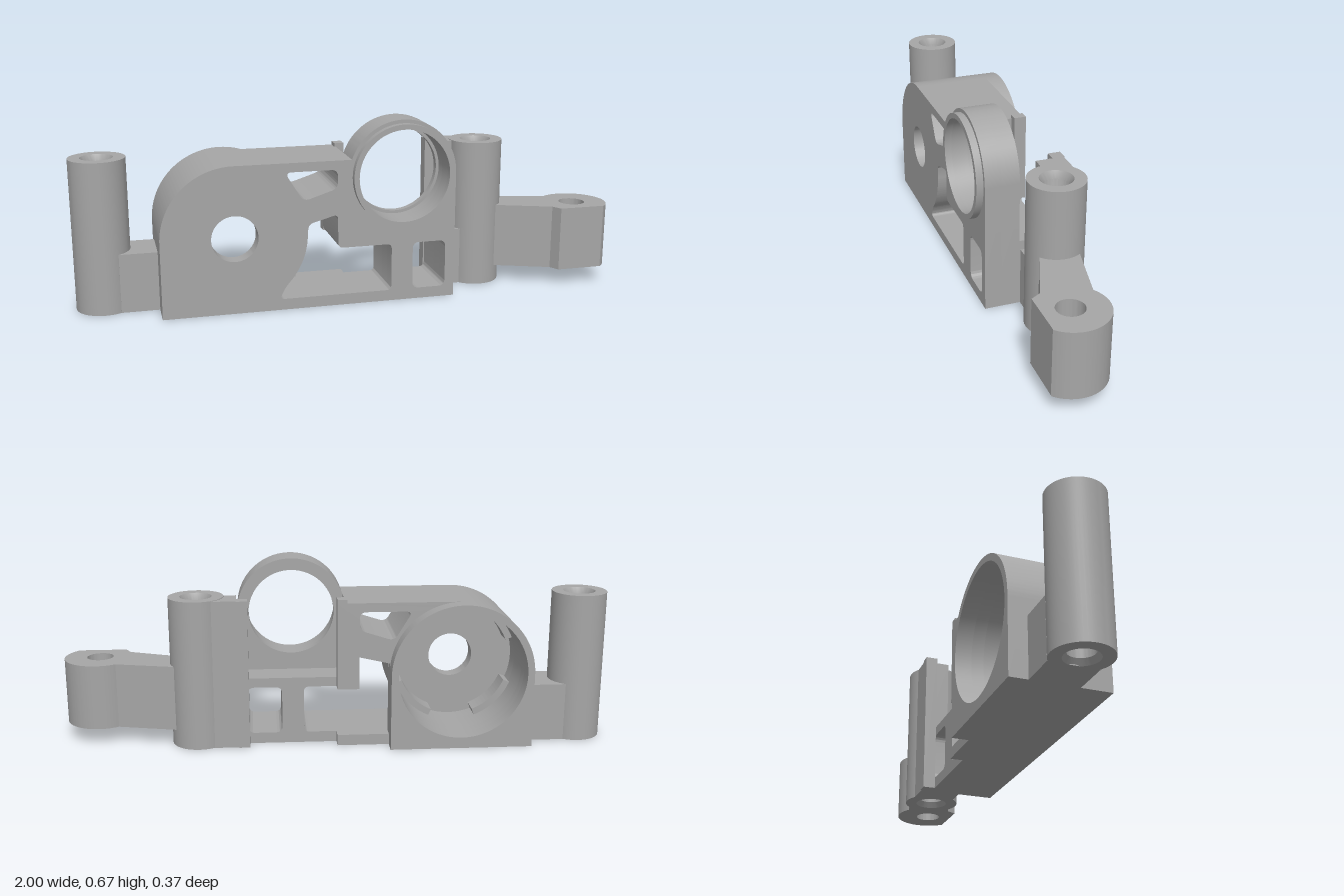
import * as THREE from 'three';
import { toCreasedNormals } from 'three/addons/utils/BufferGeometryUtils.js';

const DRUM = { x: -0.45, y: 0.275, r: 0.26, bore: 0.235 };
const RING = { x: 0.16, y: 0.47, r: 0.2, bore: 0.168 };

// Closed path through points, with rounded corners
function roundedPath(pts, r) {
  const path = new THREE.Path();
  const n = pts.length;
  const v = pts.map(p => new THREE.Vector2(p[0], p[1]));
  for (let i = 0; i < n; i++) {
    const c = v[i], a = v[(i + n - 1) % n], b = v[(i + 1) % n];
    const toward = q => c.clone().lerp(q, Math.min(0.45, r / c.distanceTo(q)));
    const s = toward(a), e = toward(b);
    if (i === 0) path.moveTo(s.x, s.y); else path.lineTo(s.x, s.y);
    path.quadraticCurveTo(c.x, c.y, e.x, e.y);
  }
  path.closePath();
  return path;
}

const circle = (x, y, r, Kind = THREE.Path) => new Kind().absarc(x, y, r, 0, Math.PI * 2, false);

// Upper left end of each body layer: round drum shoulder down to the base
function closeOverDrum(s) {
  s.lineTo(DRUM.x, DRUM.y + DRUM.r);
  s.absarc(DRUM.x, DRUM.y, DRUM.r, Math.PI / 2, Math.PI, false);
  s.lineTo(-0.71, 0);
  return s;
}

function outline(pts) {
  const s = new THREE.Shape();
  s.moveTo(-0.71, 0);
  pts.forEach(p => s.lineTo(p[0], p[1]));
  return s;
}

export function createModel() {
  const group = new THREE.Group();
  const grey = new THREE.MeshStandardMaterial({ color: 0xa6a6a6 });
  grey.name = 'grey';

  function add(name, geometry) {
    const mesh = new THREE.Mesh(toCreasedNormals(geometry, 0.5), grey);
    mesh.name = name;
    group.add(mesh);
    return mesh;
  }
  // Slab of a front-facing shape between two depths
  function slab(name, shape, z0, z1, holes = []) {
    shape.holes.push(...holes);
    const g = new THREE.ExtrudeGeometry(shape, { depth: z1 - z0, bevelEnabled: false, curveSegments: 32 });
    return add(name, g.translate(0, 0, z0));
  }
  function box(name, x0, x1, y0, y1, z0, z1) {
    const g = new THREE.BoxGeometry(x1 - x0, y1 - y0, z1 - z0);
    return add(name, g.translate((x0 + x1) / 2, (y0 + y1) / 2, (z0 + z1) / 2));
  }

  // Openings through the body
  const upperWindow = () => roundedPath([[-0.27, 0.502], [-0.08, 0.502], [-0.08, 0.435], [-0.205, 0.395]], 0.025);
  const smallWindow = () => roundedPath([[0.2, 0.04], [0.325, 0.04], [0.325, 0.215], [0.2, 0.215]], 0.025);
  const drumEdge = [0.085, 0.12, 0.16, 0.2, 0.24].map(y =>
    [DRUM.x + Math.sqrt(DRUM.r ** 2 - (y - DRUM.y) ** 2), y]);
  const largeWindow = () => roundedPath([[-0.08, 0.34], [-0.08, 0.215], [0.12, 0.215], [0.12, 0.04],
    [-0.295, 0.04], ...drumEdge, [-0.188, 0.31]], 0.02);
  const bore = () => circle(DRUM.x, DRUM.y, DRUM.bore);
  const windows = () => [upperWindow(), smallWindow(), largeWindow()];

  // Drum housing at the back
  const drum = outline([[-0.19, 0], [-0.19, DRUM.y]]);
  drum.absarc(DRUM.x, DRUM.y, DRUM.r, 0, Math.PI / 2, false);
  slab('drumHousing', closeOverDrum(drum), -0.185, -0.125, [bore()]);

  // Rear wall, cut away around the large window
  const rear = outline([[0, 0], [0, 0.04], [-0.19, 0.04], [-0.19, 0.31], [-0.08, 0.335],
    [-0.08, 0.215], [0, 0.215], [0, 0.535]]);
  slab('rearWall', closeOverDrum(rear), -0.125, -0.08, [bore(), upperWindow()]);

  // Middle of the body, with a low shelf behind the ring
  const middle = outline([[0.36, 0], [0.36, 0.25], [-0.03, 0.25], [-0.03, 0.535]]);
  slab('middleBody', closeOverDrum(middle), -0.08, 0.035, [bore(), ...windows()]);

  // Front of the body, merging into the ring
  const frontShape = () => {
    const s = outline([[0.36, 0], [0.36, RING.y]]);
    s.absarc(RING.x, RING.y, RING.r, 0, Math.PI - Math.asin(0.065 / RING.r), false);
    return closeOverDrum(s);
  };
  const ringBore = () => circle(RING.x, RING.y, RING.bore);
  slab('frontBody', frontShape(), 0.035, 0.1, [bore(), ringBore(), ...windows()]);
  slab('frontFace', frontShape(), 0.1, 0.16, [circle(DRUM.x, DRUM.y, 0.083), ringBore(), ...windows()]);

  // Ring lips
  slab('ringFrontLip', circle(RING.x, RING.y, 0.187, THREE.Shape), 0.16, 0.185, [ringBore()]);
  slab('ringInnerLip', circle(RING.x, RING.y, 0.172, THREE.Shape), 0.035, 0.06, [circle(RING.x, RING.y, 0.157)]);

  // Pads inside the drum bore
  for (let i = 0; i < 4; i++) {
    const a = i * Math.PI / 2 + 0.4;
    const pad = new THREE.Shape();
    pad.absarc(DRUM.x, DRUM.y, 0.238, a, a + 0.8, false);
    pad.absarc(DRUM.x, DRUM.y, 0.21, a + 0.8, a, true);
    slab('borePad', pad, 0.02, 0.1);
  }

  // Ribs on the back
  box('rearRibInner', -0.035, 0, 0.5, 0.548, -0.125, -0.08);
  box('rearRibOuter', 0.32, 0.36, 0, 0.548, -0.125, -0.08);

  // Hollow posts with chamfered bores
  for (const [name, x] of [['leftPost', 0.505], ['rightPost', -0.9]]) {
    const profile = [[0.045, 0.02], [0.058, 0], [0.1, 0], [0.1, 0.55], [0.058, 0.55], [0.045, 0.525], [0.045, 0.02]];
    const g = new THREE.LatheGeometry(profile.map(p => new THREE.Vector2(p[0], p[1])), 48);
    add(name, g.translate(x, 0, -0.035));
  }

  // Webs joining the posts to the body
  box('rightWeb', -0.845, -0.7, 0, 0.215, -0.12, 0.05);
  box('leftWeb', 0.36, 0.448, 0, 0.215, -0.12, 0.03);
  box('leftUpperWeb', 0.36, 0.448, 0.215, 0.548, -0.12, -0.02);

  // Side arm with its rounded, bored end
  const arm = new THREE.Shape();
  arm.moveTo(0.565, 0.095);
  arm.lineTo(0.555, -0.04);
  arm.lineTo(0.765, -0.122);
  arm.lineTo(0.785, -0.158);
  arm.lineTo(0.957, -0.158);
  arm.absarc(0.873, -0.065, 0.127, Math.atan2(-0.093, 0.084), Math.PI - 0.98, false);
  arm.holes.push(circle(0.87, -0.065, 0.048));
  const armGeometry = new THREE.ExtrudeGeometry(arm, { depth: 0.24, bevelEnabled: false, curveSegments: 32 });
  add('sideArm', armGeometry.rotateX(-Math.PI / 2).translate(0, 0.063, 0));

  return group;
}
